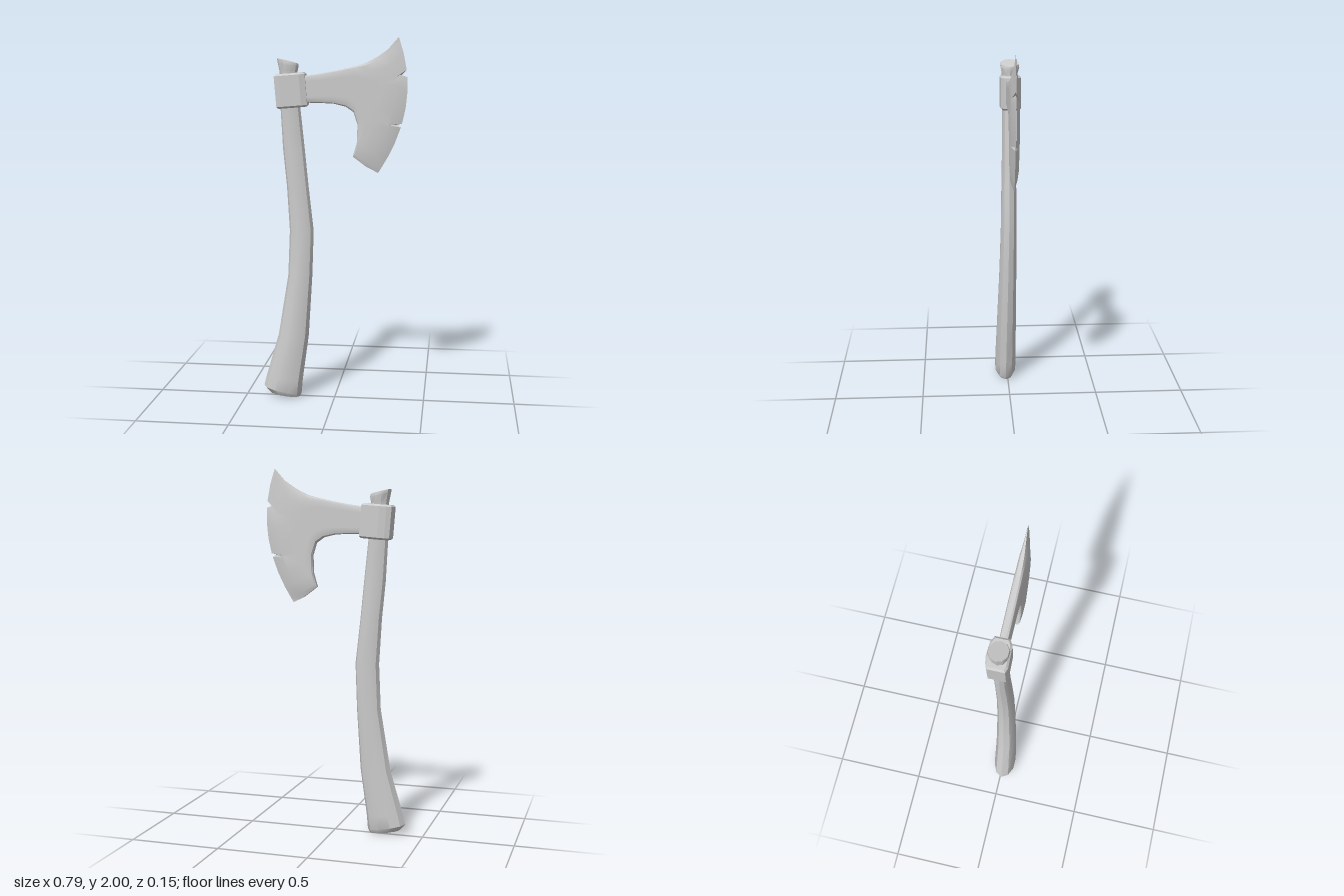
import * as THREE from 'three';
import { toCreasedNormals } from 'three/addons/utils/BufferGeometryUtils.js';

const material = new THREE.MeshStandardMaterial({ color: 0xcccccc });

// Skins a list of closed rings; optional fan caps at both ends, lifted in y.
function loft(rings, caps, lift = [0, 0], crease = 0.6) {
  const n = rings[0].length;
  const pos = rings.flat(2);
  const index = [];
  for (let r = 0; r < rings.length - 1; r++) {
    for (let i = 0; i < n; i++) {
      const j = (i + 1) % n;
      const a = r * n + i, b = r * n + j, c = a + n, d = b + n;
      index.push(a, c, b, b, c, d);
    }
  }
  if (caps) {
    [0, rings.length - 1].forEach((r, end) => {
      const centre = [0, 1, 2].map(k => rings[r].reduce((s, p) => s + p[k], 0) / n);
      centre[1] += lift[end];
      const c = pos.length / 3;
      pos.push(...centre);
      for (let i = 0; i < n; i++) {
        const a = r * n + i, b = r * n + (i + 1) % n;
        if (end === 0) index.push(c, a, b);
        else index.push(c, b, a);
      }
    });
  }
  const g = new THREE.BufferGeometry();
  g.setAttribute('position', new THREE.Float32BufferAttribute(pos, 3));
  g.setIndex(index);
  return toCreasedNormals(g, crease);
}

// Curved wooden haft: [left x, left y, right x, right y, centre z, half depth]
function makeHaft() {
  const sections = [
    [-0.370, 0.025, -0.198, 0.000, 0.012, 0.046],
    [-0.400, 0.060, -0.187, 0.018, 0.012, 0.062],
    [-0.385, 0.120, -0.180, 0.100, 0.011, 0.062],
    [-0.315, 0.360, -0.145, 0.360, 0.007, 0.057],
    [-0.260, 0.700, -0.125, 0.700, 0.000, 0.050],
    [-0.250, 0.950, -0.117, 0.950, -0.004, 0.046],
    [-0.265, 1.200, -0.145, 1.200, -0.006, 0.043],
    [-0.285, 1.400, -0.165, 1.400, -0.008, 0.040],
    [-0.297, 1.620, -0.188, 1.620, -0.009, 0.039],
    [-0.302, 1.820, -0.203, 1.820, -0.013, 0.045],
    [-0.312, 1.868, -0.197, 1.846, -0.014, 0.054],
    [-0.315, 1.888, -0.200, 1.861, -0.014, 0.050],
  ];
  const sides = 10;
  const rings = sections.map(([xl, yl, xr, yr, zc, h]) =>
    Array.from({ length: sides }, (_, i) => {
      const a = i / sides * Math.PI * 2;
      const t = (Math.cos(a) + 1) / 2;
      return [xl + (xr - xl) * t, yl + (yr - yl) * t, zc + h * Math.sin(a)];
    }));
  return loft(rings, true, [0.022, 0]);
}

// Socket block that wraps the haft, drawn in plan and extruded upwards
function makeSocket() {
  const plan = [[-0.073, 0.042], [-0.055, 0.048], [0.05, 0.044], [0.073, 0.032],
    [0.073, -0.032], [0.05, -0.044], [-0.02, -0.048], [-0.055, -0.042], [-0.073, -0.034]];
  const shape = new THREE.Shape(plan.map(([x, z]) => new THREE.Vector2(x, -z)).reverse());
  const g = new THREE.ExtrudeGeometry(shape, {
    depth: 0.165, bevelThickness: 0.01, bevelSize: 0.01, bevelSegments: 1,
  });
  g.translate(0, 0, -0.0825);
  g.rotateX(-Math.PI / 2);
  return g;
}

// Bearded blade: rows from neck to cutting edge
// [top x, top y, bottom x, bottom y, bulge, top half thickness, bottom half thickness]
function makeBlade() {
  const rows = [
    [-0.170, 1.795, -0.170, 1.652, 0, 0.023, 0.023],
    [-0.080, 1.808, -0.080, 1.651, 0, 0.023, 0.023],
    [0.010, 1.825, -0.005, 1.647, 0, 0.023, 0.023],
    [0.080, 1.840, 0.060, 1.632, 0.005, 0.023, 0.023],
    [0.118, 1.849, 0.102, 1.602, 0.012, 0.023, 0.023],
    [0.150, 1.858, 0.123, 1.535, 0.025, 0.023, 0.024],
    [0.190, 1.876, 0.120, 1.437, 0.045, 0.022, 0.024],
    [0.230, 1.898, 0.098, 1.363, 0.070, 0.020, 0.024],
    [0.283, 1.935, 0.172, 1.308, 0.088, 0.010, 0.023],
    [0.340, 2.000, 0.235, 1.275, 0.095, 0.0008, 0.0008],
  ];
  const columns = [0, 0.03, 0.12, 0.238, 0.272, 0.29, 0.4, 0.52, 0.632, 0.639, 0.66, 0.78, 0.88, 0.97, 1];
  const nicks = { 0.272: 0.037, 0.639: 0.025 }; // chips in the cutting edge
  const rings = rows.map(([tx, ty, bx, by, bulge, tt, tb], r) => {
    const point = (v, side) => {
      const rim = Math.min(v, 1 - v);
      const round = rim < 0.01 ? 0.45 : rim < 0.05 ? 0.8 : 1;
      const nick = r === rows.length - 1 ? nicks[v] || 0 : 0;
      const thick = tt + (tb - tt) * Math.min(1, v * 2.5);
      return [
        tx + (bx - tx) * v + bulge * 4 * v * (1 - v) - nick,
        ty + (by - ty) * v,
        side * thick * round,
      ];
    };
    return [...columns.slice().reverse().map(v => point(v, 1)), ...columns.map(v => point(v, -1))];
  });
  return loft(rings, false, [0, 0], 0.5);
}

export function createModel() {
  const group = new THREE.Group();
  const add = (name, geometry) => {
    const mesh = new THREE.Mesh(geometry, material);
    mesh.name = name;
    group.add(mesh);
    return mesh;
  };
  add('haft', makeHaft());

  const socket = add('socket', makeSocket());
  socket.position.set(-0.237, 1.717, -0.017);
  socket.rotation.z = 0.08;

  add('blade', makeBlade()).position.z = -0.012;
  return group;
}
